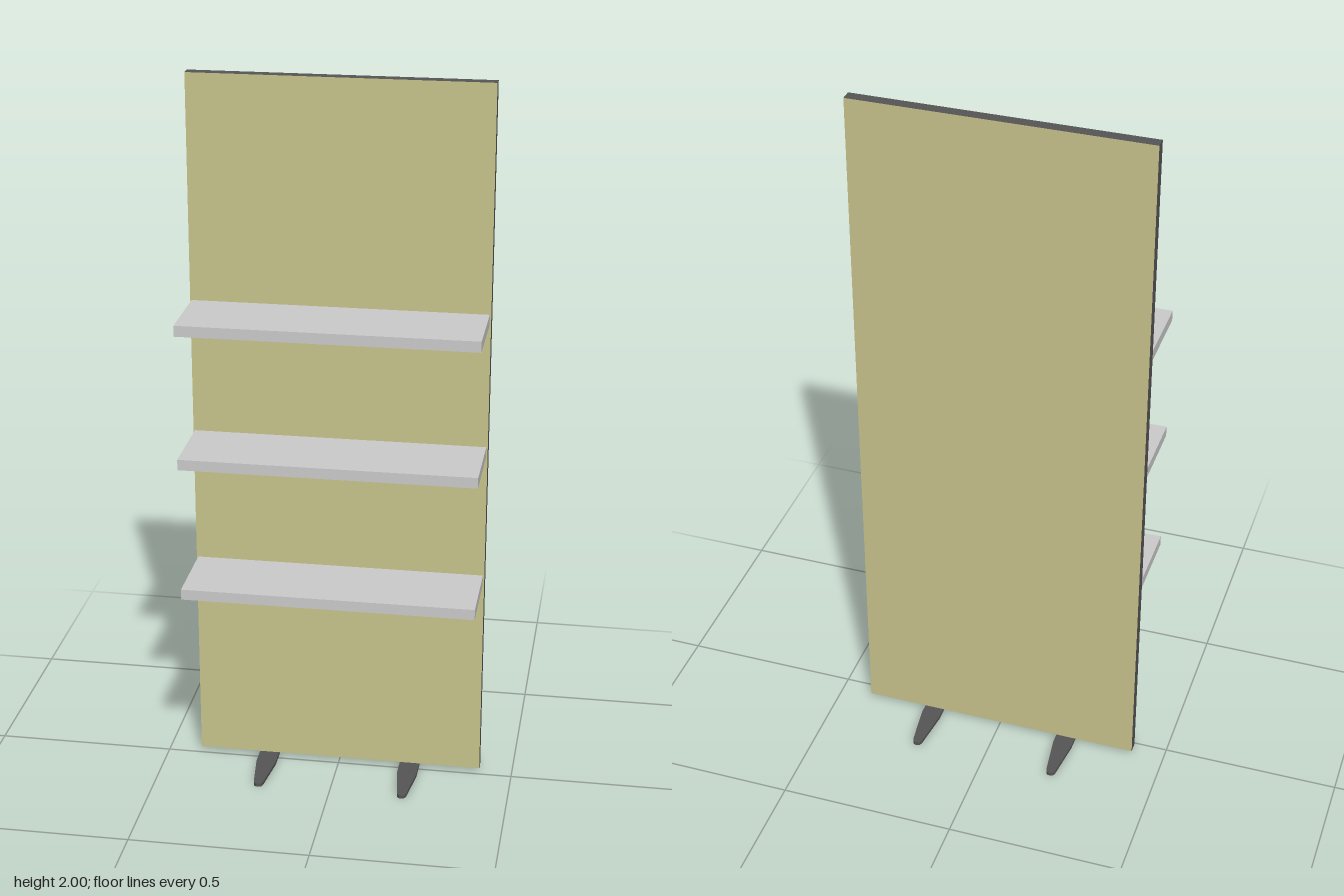
import * as THREE from 'three';

export function createModel() {
  const model = new THREE.Group();
  const grey = new THREE.MeshStandardMaterial({ color: 0xcccccc });
  const dark = new THREE.MeshStandardMaterial({ color: 0x555555 });
  const khaki = new THREE.MeshStandardMaterial({ color: 0xc8c48c });

  const add = (name, geometry, material, x, y, z) => {
    const mesh = new THREE.Mesh(geometry, material);
    mesh.name = name;
    mesh.position.set(x, y, z);
    model.add(mesh);
    return mesh;
  };

  // Upright panel: dark edges, coloured front and back faces
  add('backPanel', new THREE.BoxGeometry(0.814, 1.99, 0.032),
    [dark, dark, dark, dark, khaki, khaki], 0, 1.005, -0.031);

  // Three shelves on the front of the panel
  const shelfGeometry = new THREE.BoxGeometry(0.806, 0.03, 0.22);
  [0.605, 0.988, 1.365].forEach((y, i) =>
    add(`shelf${i + 1}`, shelfGeometry, grey, 0, y, 0.095));

  // Flat feet, tapering to rounded tips at both ends
  const half = [[0.028, 0.06], [0.0135, 0.176], [0.0105, 0.184], [0.005, 0.188]];
  const mirrored = (sx, sy) => half.map(([x, y]) => new THREE.Vector2(x * sx, y * sy));
  const outline = new THREE.Shape([
    ...mirrored(1, 1), ...mirrored(-1, 1).reverse(),
    ...mirrored(-1, -1), ...mirrored(1, -1).reverse(),
  ]);
  const footGeometry = new THREE.ExtrudeGeometry(outline, { depth: 0.01, bevelEnabled: false });
  footGeometry.rotateX(-Math.PI / 2);
  add('leftFoot', footGeometry, dark, 0.205, 0, -0.019);
  add('rightFoot', footGeometry, dark, -0.205, 0, -0.019);

  return model;
}
